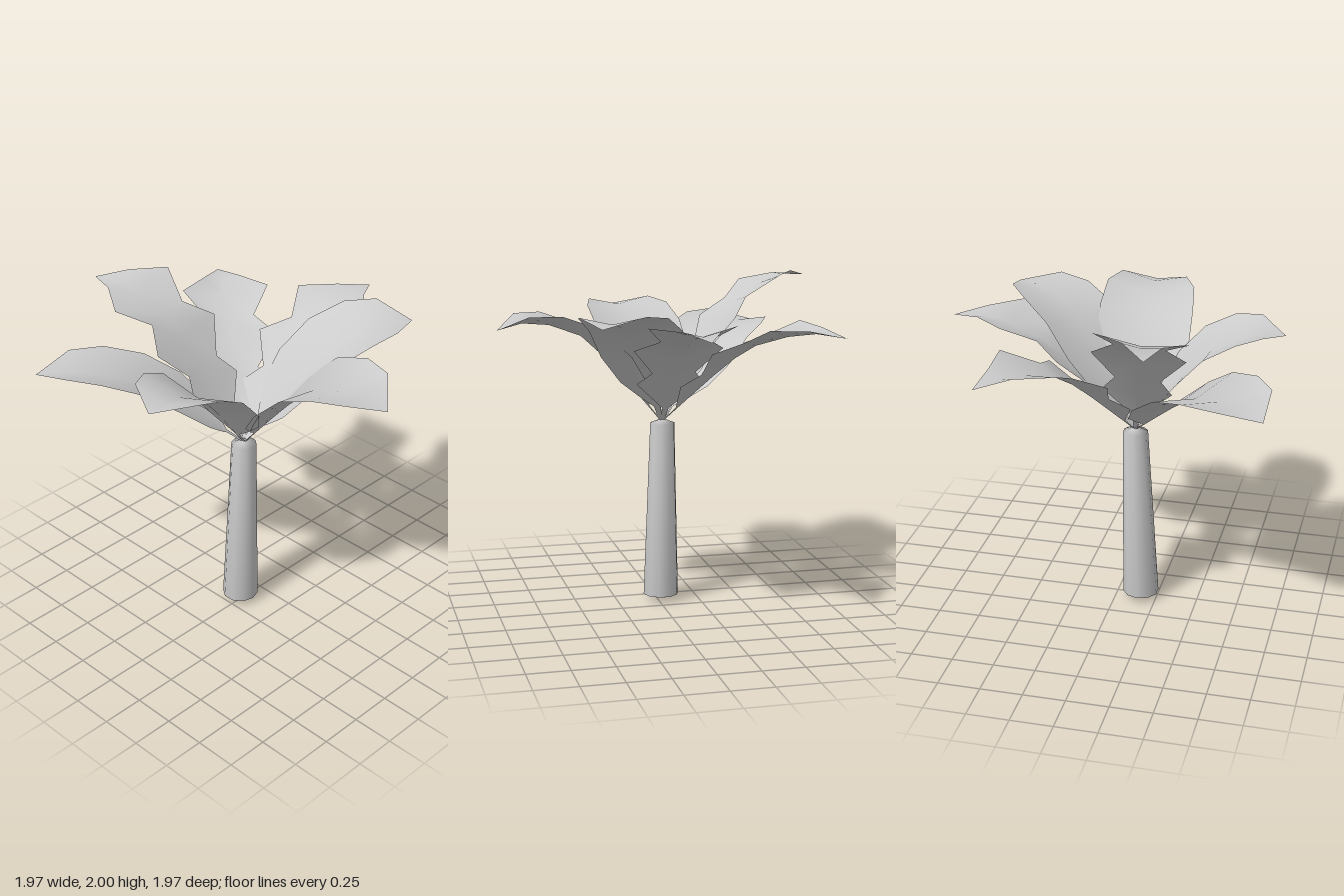
import * as THREE from 'three';

const paleGrey = new THREE.MeshStandardMaterial({ color: 0xcccccc, side: THREE.DoubleSide });
paleGrey.name = 'paleGrey';

const BASE = new THREE.Vector3(-0.11, 1.12, -0.02);

// Shared midrib arch: x = share of reach, y = share of rise
const arch = new THREE.SplineCurve([
  [0, 0], [0.17, 0.29], [0.33, 0.56], [0.49, 0.79], [0.67, 0.92], [0.85, 0.985], [1, 0.97],
].map(([x, y]) => new THREE.Vector2(x, y)));

// Half widths along the midrib: [share of reach, half width]
const BROAD = [[0, 0.012], [0.09, 0.02], [0.12, 0.08], [0.2, 0.2], [0.33, 0.275],
  [0.5, 0.28], [0.69, 0.265], [0.85, 0.2], [1, 0]];
const JAGGED = [[0, 0.012], [0.09, 0.02], [0.21, 0.2], [0.29, 0.13], [0.41, 0.265],
  [0.52, 0.145], [0.69, 0.26], [0.84, 0.105], [1, 0]];

// Curve parameter whose x equals the given share
function paramAt(x) {
  let lo = 0, hi = 1;
  for (let i = 0; i < 30; i++) {
    const mid = (lo + hi) / 2;
    if (arch.getPoint(mid).x < x) lo = mid; else hi = mid;
  }
  return hi;
}

// A leaf blade folded upward along its midrib, arching from the trunk top to (tipX, tipZ)
function makeLeaf(name, outline, tipX, tipZ, { rise, droop = 0, fold = 0.26, roll = 0 }) {
  const dir = new THREE.Vector3(tipX - BASE.x, 0, tipZ - BASE.z);
  const reach = dir.length();
  dir.normalize();
  const side = new THREE.Vector3(-dir.z, 0, dir.x);
  const pos = [], index = [];
  outline.forEach(([share, w], i) => {
    const t = paramAt(share);
    const p = arch.getPoint(t);
    const tan = arch.getTangent(t);
    const slope = new THREE.Vector2(tan.x * reach, tan.y * rise - 2 * droop * p.x * tan.x).normalize();
    const mid = BASE.clone().addScaledVector(dir, p.x * reach);
    mid.y += p.y * rise - droop * p.x * p.x;
    const normal = dir.clone().multiplyScalar(-slope.y);
    normal.y = slope.x;
    for (const s of [-1, 0, 1]) {
      const v = mid.clone().addScaledVector(side, s * w)
        .addScaledVector(normal, w * (Math.abs(s) * fold + s * roll));
      pos.push(v.x, v.y, v.z);
    }
    if (i === 0) return;
    const a = (i - 1) * 3, b = i * 3;
    for (const k of [0, 1]) {
      if (w > 0) index.push(a + k, b + k, a + k + 1, a + k + 1, b + k, b + k + 1);
      else index.push(a + k, b + 1, a + k + 1); // close at the tip
    }
  });
  const g = new THREE.BufferGeometry();
  g.setAttribute('position', new THREE.Float32BufferAttribute(pos, 3));
  g.setIndex(index);
  g.computeVertexNormals();
  const mesh = new THREE.Mesh(g, paleGrey);
  mesh.name = name;
  return mesh;
}

// Tapered trunk with shallow pointed ends, leaning slightly to one side
function makeTrunk() {
  const g = new THREE.LatheGeometry([
    [0, 0], [0.109, 0.035], [0.075, 1.115], [0, 1.145],
  ].map(([r, y]) => new THREE.Vector2(r, y)), 10);
  const p = g.attributes.position;
  for (let i = 0; i < p.count; i++) {
    p.setXYZ(i, p.getX(i) - 0.152 + 0.037 * p.getY(i), p.getY(i), p.getZ(i) - 0.024);
  }
  const mesh = new THREE.Mesh(g, paleGrey);
  mesh.name = 'trunk';
  return mesh;
}

export function createModel() {
  const plant = new THREE.Group();
  plant.name = 'plant';
  plant.add(
    makeTrunk(),
    makeLeaf('broadLeafBackRight', BROAD, -0.98, -0.83, { rise: 0.53, droop: 0.02, fold: 0.24, roll: -0.08 }),
    makeLeaf('broadLeafRight', BROAD, -0.96, 0.11, { rise: 0.645, fold: 0.22 }),
    makeLeaf('broadLeafFront', BROAD, -0.02, 0.98, { rise: 0.713, droop: 0.092, fold: 0.24, roll: -0.06 }),
    makeLeaf('broadLeafFrontLeft', BROAD, 0.74, 0.51, { rise: 0.71, fold: 0.2, roll: -0.05 }),
    makeLeaf('jaggedLeafLeft', JAGGED, 0.99, -0.03, { rise: 0.655 }),
    makeLeaf('jaggedLeafBackLeft', JAGGED, 0.58, -0.94, { rise: 0.62, droop: 0.03 }),
    makeLeaf('jaggedLeafBack', JAGGED, -0.37, -0.99, { rise: 0.87, fold: 0.14, roll: 0.14 }),
  );
  return plant;
}
